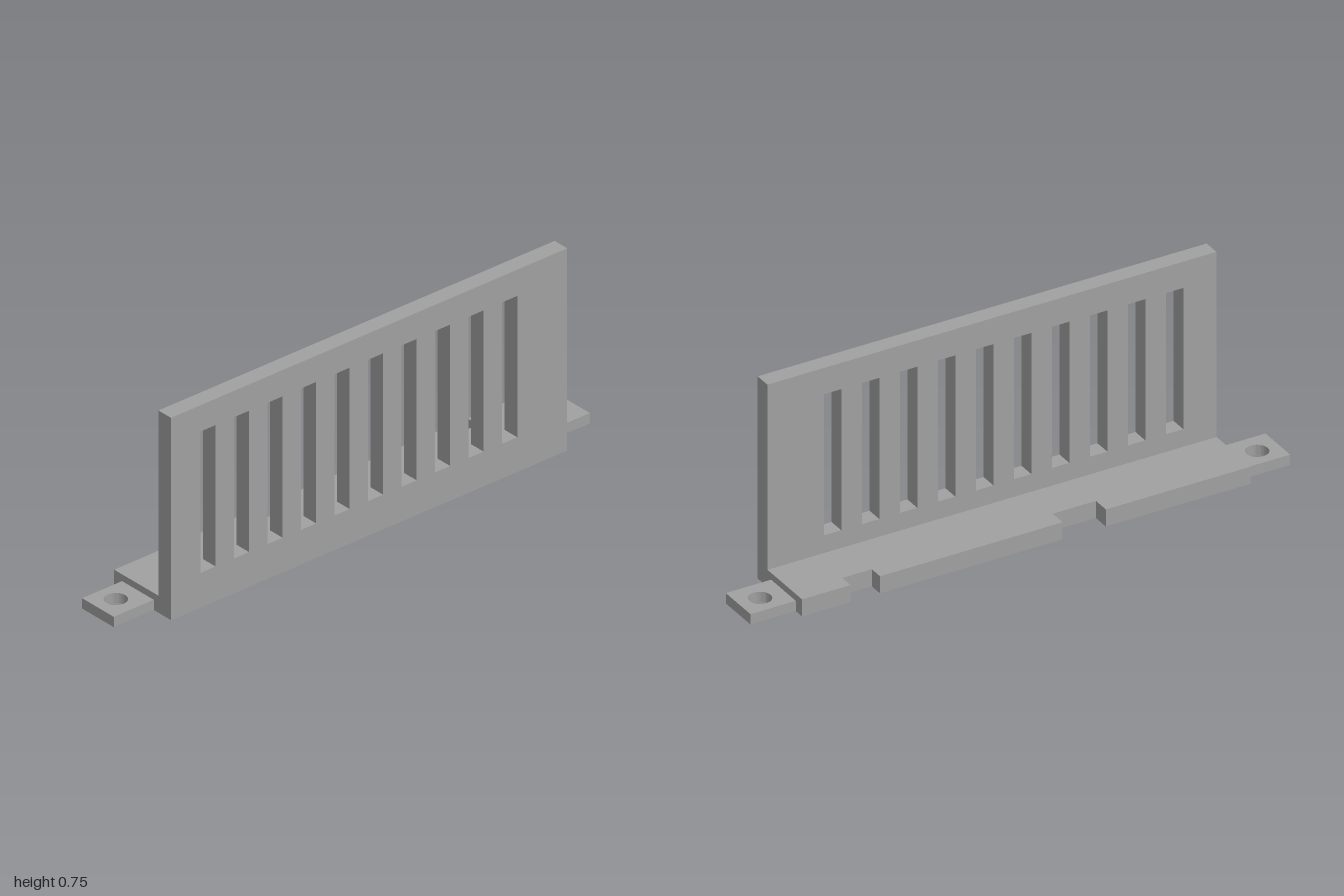
import * as THREE from 'three';
import { toCreasedNormals } from 'three/addons/utils/BufferGeometryUtils.js';

const HALF = 0.832;      // half width of the panel and base
const PANEL_BACK = 0.078;
const DEPTH = 0.14;      // half depth of the whole bracket

const polygon = (points) => new THREE.Shape(points.map(([x, y]) => new THREE.Vector2(x, y)));
const rect = (x0, y0, x1, y1) => polygon([[x0, y0], [x1, y0], [x1, y1], [x0, y1]]);

function extrude(shape, depth) {
  const geometry = new THREE.ExtrudeGeometry(shape, { depth, bevelEnabled: false, curveSegments: 24 });
  return toCreasedNormals(geometry, 0.6);
}

// Extrudes a floor plan upwards; plan y is the distance towards the back (-z)
const slab = (shape, height) => extrude(shape, height).rotateX(-Math.PI / 2);

export function createModel() {
  const model = new THREE.Group();
  model.name = 'slottedBracket';
  const grey = new THREE.MeshStandardMaterial({ color: 0xa0a0a0 });
  grey.name = 'plain grey';

  const add = (name, geometry) => {
    const mesh = new THREE.Mesh(geometry, grey);
    mesh.name = name;
    model.add(mesh);
  };

  // Upright panel with ten vertical slots, set off towards the right
  const panel = rect(-HALF, 0, HALF, 0.747);
  for (let i = 0; i < 10; i++) {
    const x = -0.709 + i * 0.1408;
    panel.holes.push(rect(x, 0.128, x + 0.064, 0.65));
  }
  add('slottedPanel', extrude(panel, DEPTH - PANEL_BACK).translate(0, 0, PANEL_BACK));

  // Base ledge behind the panel, with two notches in its back edge
  add('notchedBase', slab(polygon([
    [-HALF, -PANEL_BACK], [HALF, -PANEL_BACK], [HALF, DEPTH],
    [0.652, DEPTH], [0.652, 0.088], [0.543, 0.088], [0.543, DEPTH],
    [-0.134, DEPTH], [-0.134, 0.077], [-0.294, 0.077], [-0.294, DEPTH],
    [-HALF, DEPTH],
  ]), 0.063));

  // Mounting tabs with round screw holes
  for (const [name, side] of [['leftTab', 1], ['rightTab', -1]]) {
    const tab = rect(Math.min(side * HALF, side), -0.055, Math.max(side * HALF, side), 0.101);
    tab.holes.push(new THREE.Path().absarc(side * 0.921, 0.027, 0.039, 0, Math.PI * 2, true));
    add(name, slab(tab, 0.038));
  }

  return model;
}
